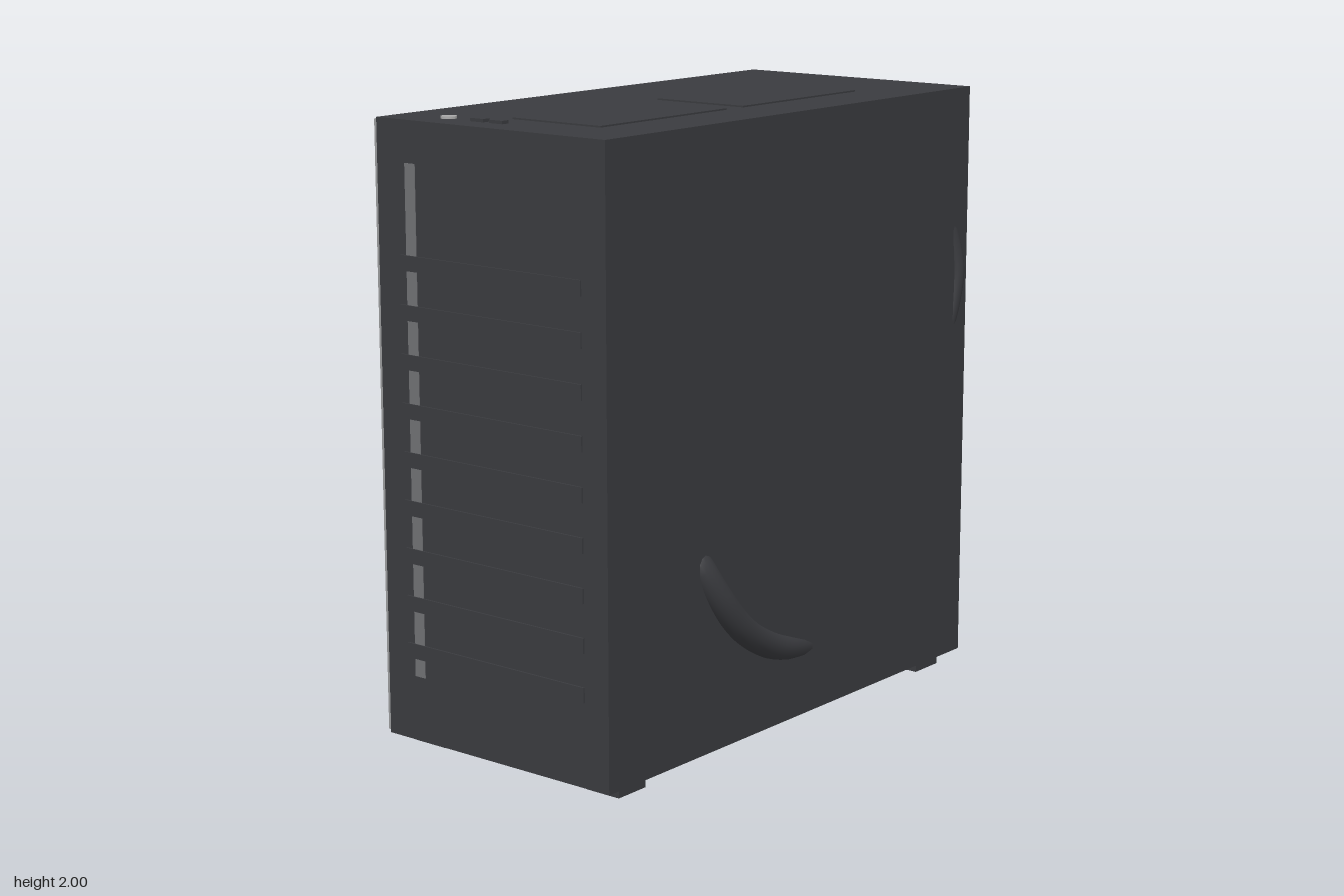
import * as THREE from 'three';

const paint = (color) => new THREE.MeshStandardMaterial({ color });

export function createModel() {
  const group = new THREE.Group();
  const dark = paint(0x3a3b3f), glass = paint(0x9a9b9d), light = paint(0x707174), metal = paint(0xaaaaaa);

  const add = (name, geometry, material) => {
    const mesh = new THREE.Mesh(geometry, material);
    mesh.name = name;
    group.add(mesh);
    return mesh;
  };
  // Box given by its minimum and maximum on each axis
  const box = (name, [x0, x1], [y0, y1], [z0, z1], material = dark) =>
    add(name, new THREE.BoxGeometry(x1 - x0, y1 - y0, z1 - z0), material)
      .position.set((x0 + x1) / 2, (y0 + y1) / 2, (z0 + z1) / 2);

  // Case and side window
  box('caseBody', [-0.47, 0.437], [0.04, 1.99], [-0.935, 0.93]);
  box('sidePanel', [-0.489, -0.472], [0.045, 1.983], [-0.93, 0.92], glass);

  // Feet
  for (const x of [-0.377, 0.343])
    for (const z of [-0.787, 0.787])
      box('foot', [x - 0.063, x + 0.063], [0, 0.04], [z - 0.063, z + 0.063]);

  // Front light strip with slats across it
  box('lightStrip', [-0.354, -0.312], [0.25, 1.86], [0.925, 0.932], light);
  for (let i = 0; i < 9; i++) {
    const y = 0.332 + i * 0.153;
    box('frontSlat', [-0.38, 0.344], [y - 0.024, y + 0.024], [0.92, 0.936]);
  }

  // Top vents, ports and power button
  box('topVent', [-0.108, 0.237], [1.98, 1.995], [-0.558, 0.037]);
  box('topVent', [-0.108, 0.237], [1.98, 1.995], [0.12, 0.717]);
  for (const x of [-0.145, -0.069])
    box('port', [x - 0.026, x + 0.026], [1.98, 2], [0.806, 0.835]);
  add('powerButton', new THREE.CylinderGeometry(0.025, 0.025, 0.017, 24), metal)
    .position.set(-0.273, 1.989, 0.82);

  // Cables bulging through the closed side
  const cable = (name, points, radius) => {
    const curve = new THREE.CatmullRomCurve3(points.map((p) => new THREE.Vector3(...p)));
    add(name, new THREE.TubeGeometry(curve, 40, radius, 16), dark);
  };
  cable('lowerCable', [
    [0.37, 0.69, 0.48], [0.408, 0.64, 0.468], [0.436, 0.54, 0.415], [0.443, 0.44, 0.335],
    [0.437, 0.365, 0.24], [0.42, 0.3, 0.11], [0.402, 0.265, -0.02], [0.383, 0.248, -0.14],
  ], 0.045);
  cable('upperCable', [
    [0.4, 1.57, -0.845], [0.415, 1.5, -0.87], [0.428, 1.38, -0.89],
    [0.42, 1.27, -0.882], [0.405, 1.16, -0.86],
  ], 0.027);

  return group;
}
